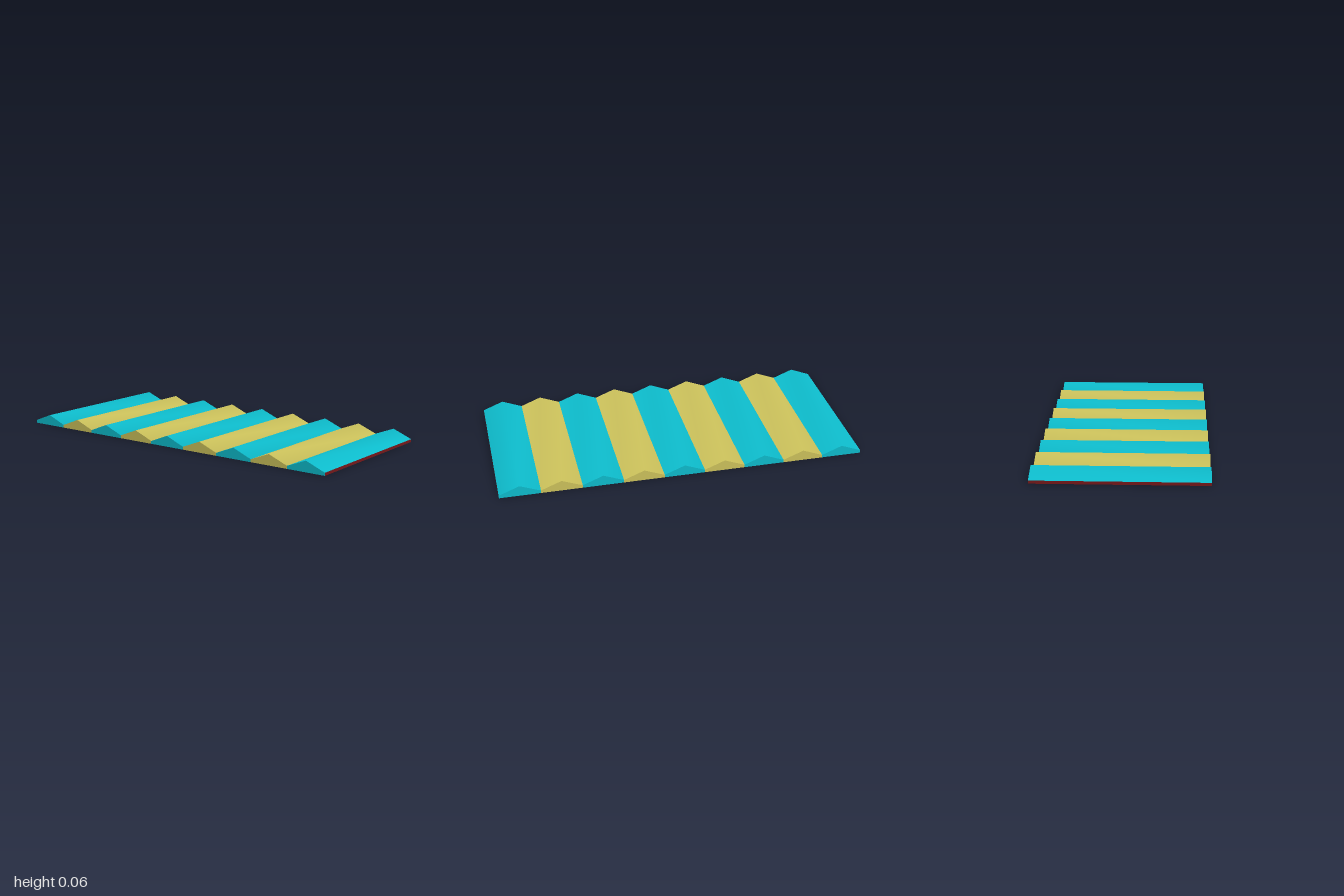
import * as THREE from 'three';

export function createModel() {
  const teal = new THREE.MeshStandardMaterial({ color: 0x0dbccc, name: 'teal' });
  const sand = new THREE.MeshStandardMaterial({ color: 0xccc25b, name: 'sand' });
  const darkRed = new THREE.MeshStandardMaterial({ color: 0x74181a, name: 'dark red' });

  const RIDGES = 9, WIDTH = 2, DEPTH = 0.896, VALLEY = 0.016, PEAK = 0.06;
  const step = WIDTH / RIDGES;
  const model = new THREE.Group();
  model.name = 'ridgedMat';

  function add(name, geometry, material) {
    const mesh = new THREE.Mesh(geometry, material);
    mesh.name = name;
    model.add(mesh);
    return mesh;
  }

  // Folded top: one smooth sheet, every second column lifted, stripes by group
  const top = new THREE.PlaneGeometry(WIDTH, DEPTH, RIDGES * 2, 1).rotateX(-Math.PI / 2);
  const pos = top.attributes.position;
  for (let i = 0; i < pos.count; i++) {
    const column = i % (RIDGES * 2 + 1);
    pos.setY(i, column % 2 ? PEAK : VALLEY);
  }
  top.computeVertexNormals();
  for (let i = 0; i < RIDGES; i++) top.addGroup(i * 12, 12, i % 2);
  add('stripedTop', top, [teal, sand]);

  // Gable faces closing each ridge at front and back
  const gable = new THREE.Shape([
    new THREE.Vector2(-step / 2, 0),
    new THREE.Vector2(step / 2, 0),
    new THREE.Vector2(step / 2, VALLEY),
    new THREE.Vector2(0, PEAK),
    new THREE.Vector2(-step / 2, VALLEY),
  ]);
  const gableGeometry = new THREE.ShapeGeometry(gable);
  for (let i = 0; i < RIDGES; i++) {
    for (const side of [1, -1]) {
      const mesh = add(side > 0 ? 'frontGable' : 'backGable', gableGeometry, i % 2 ? sand : teal);
      mesh.position.set(-WIDTH / 2 + step * (i + 0.5), 0, side * DEPTH / 2);
      if (side < 0) mesh.rotation.y = Math.PI;
    }
  }

  // Flat underside
  add('underside', new THREE.PlaneGeometry(WIDTH, DEPTH).rotateX(Math.PI / 2), teal);

  // Narrow edges at both ends
  for (const side of [1, -1]) {
    const edge = add(side > 0 ? 'leftEdge' : 'rightEdge', new THREE.PlaneGeometry(DEPTH, VALLEY), darkRed);
    edge.rotation.y = side * Math.PI / 2;
    edge.position.set(side * WIDTH / 2, VALLEY / 2, 0);
  }

  return model;
}
